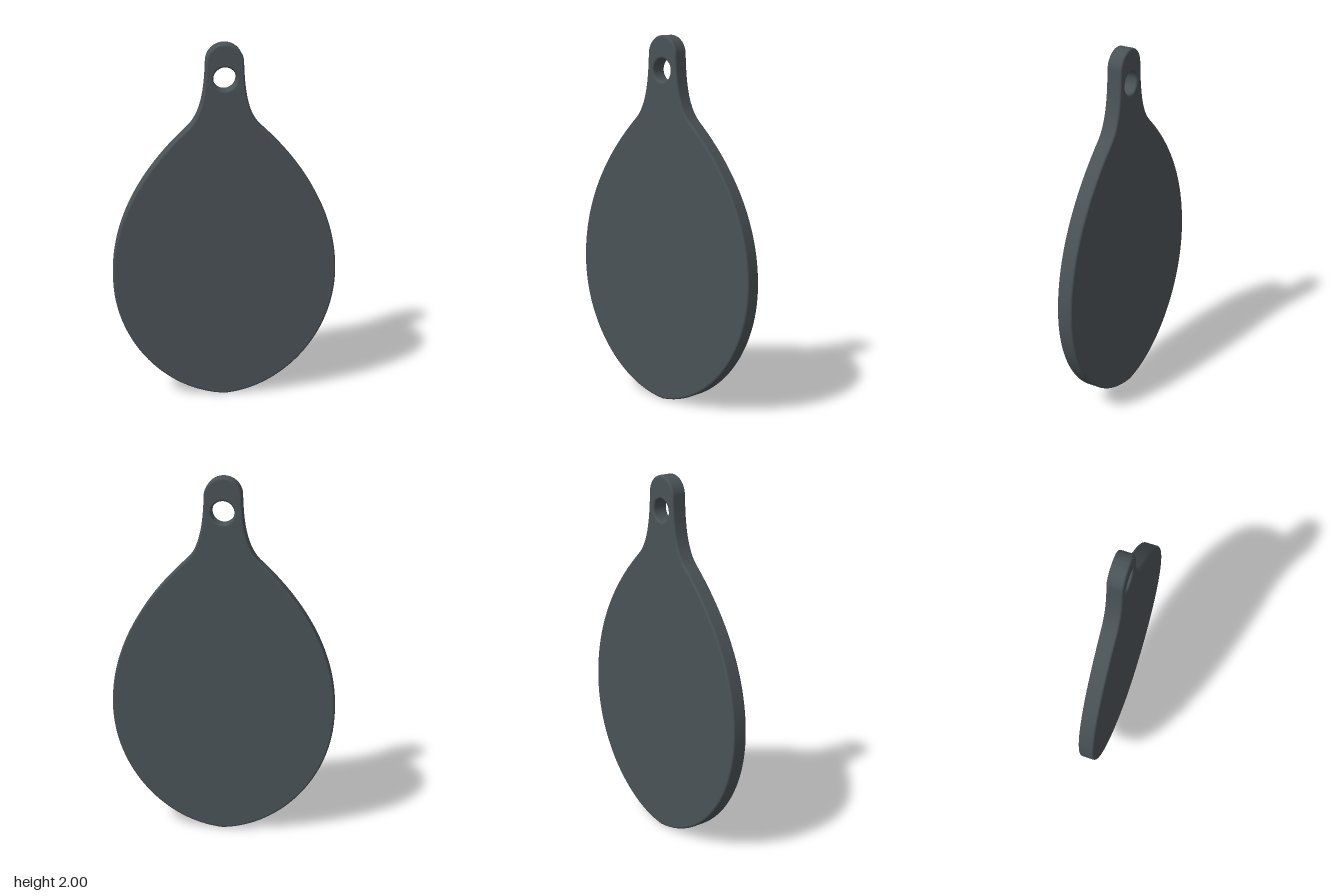
import * as THREE from 'three';
import { toCreasedNormals } from 'three/addons/utils/BufferGeometryUtils.js';

export function createModel() {
  const group = new THREE.Group();
  group.name = 'pendantTag';

  // Egg-shaped outline narrowing into a round-ended hanging tab
  const outline = new THREE.Shape();
  outline.moveTo(0, 0);
  outline.bezierCurveTo(0.33, 0.025, 0.613, 0.34, 0.613, 0.72);
  outline.bezierCurveTo(0.613, 1.05, 0.44, 1.33, 0.2, 1.55);
  outline.bezierCurveTo(0.12, 1.625, 0.105, 1.76, 0.1, 1.9);
  outline.absarc(0, 1.9, 0.1, 0, Math.PI, false);
  outline.bezierCurveTo(-0.105, 1.76, -0.12, 1.625, -0.2, 1.55);
  outline.bezierCurveTo(-0.44, 1.33, -0.613, 1.05, -0.613, 0.72);
  outline.bezierCurveTo(-0.613, 0.34, -0.33, 0.025, 0, 0);

  // Hole for a cord or ring
  const hole = new THREE.Path();
  hole.absarc(0, 1.815, 0.061, 0, Math.PI * 2, true);
  outline.holes.push(hole);

  // Thin plate with softly rounded rims
  const halfThickness = 0.044;
  const rim = 0.012;
  const depth = 2 * (halfThickness - rim);
  const geometry = new THREE.ExtrudeGeometry(outline, {
    depth,
    curveSegments: 32,
    bevelEnabled: true,
    bevelThickness: rim,
    bevelSize: rim,
    bevelOffset: -rim,
    bevelSegments: 4,
  });
  geometry.translate(0, 0, -depth / 2);

  const plate = new THREE.Mesh(
    toCreasedNormals(geometry, 0.18),
    new THREE.MeshStandardMaterial({ color: 0x4a5256 })
  );
  plate.name = 'plate';
  group.add(plate);
  return group;
}
